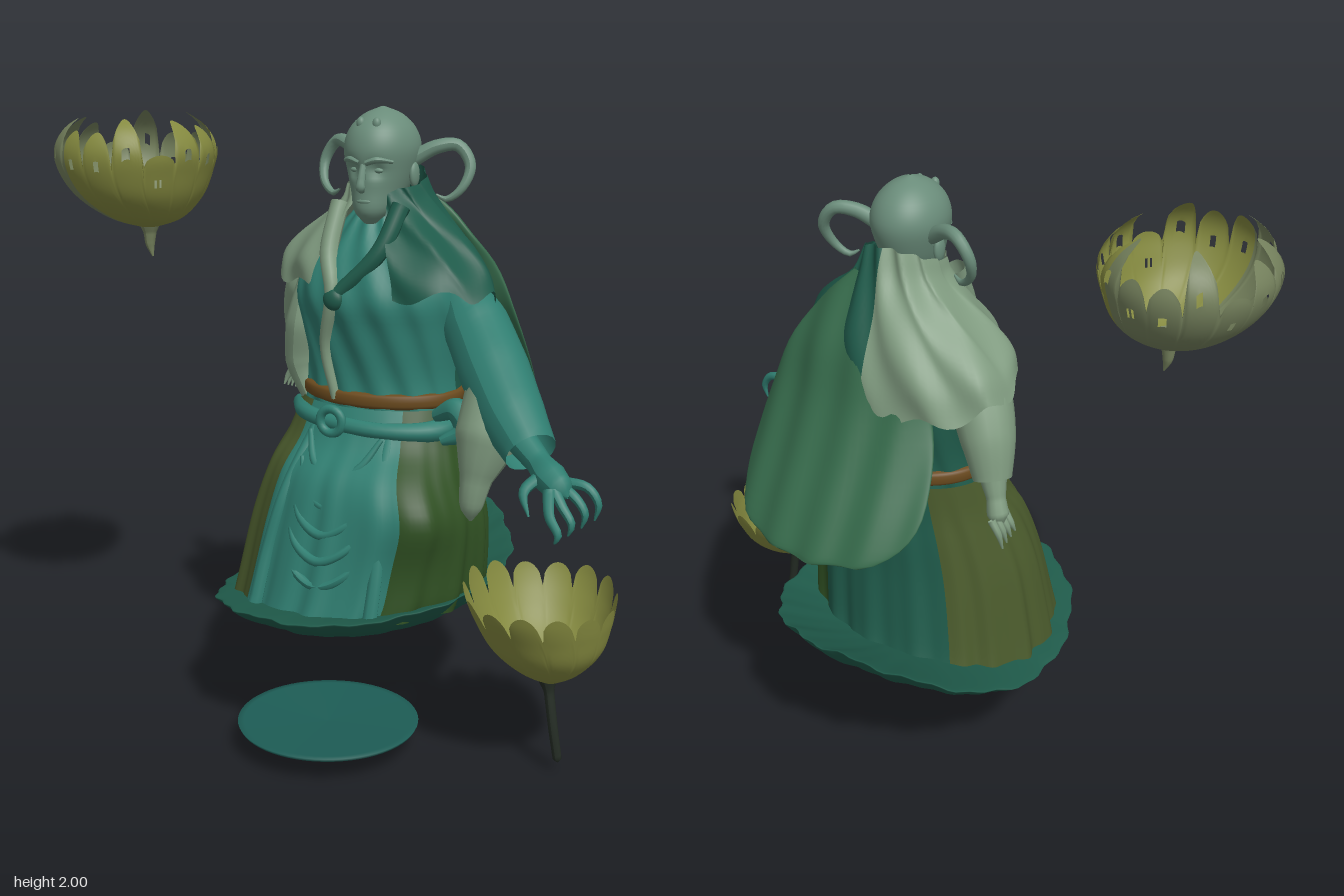
import * as THREE from 'three';

const TAU = Math.PI * 2;
const V = (x, y, z) => new THREE.Vector3(x, y, z);
const C = {
  teal: 0x2f7d70, deep: 0x1f5a4a, pale: 0x7f9a7f, skin: 0x6a8c7a, moss: 0x2f4f22, olive: 0x4a5a2c,
  brown: 0x6a4a1e, cape: 0x35694a, petal: 0x84893f, petalGrey: 0x74805c, dark: 0x242c24, disc: 0x1d5c55,
};
const mat = (color) => new THREE.MeshStandardMaterial({ color, side: THREE.DoubleSide });

function add(parent, name, geometry, color, x = 0, y = 0, z = 0) {
  const mesh = new THREE.Mesh(geometry, mat(color));
  mesh.name = name;
  mesh.position.set(x, y, z);
  parent.add(mesh);
  return mesh;
}

// Smooth skin over elliptical sections [y, cx, cz, rx, rz]; angle 0 faces front.
// bands: [name, color, from, to] in turns share one surface.
function loft(parent, sections, bands, { nu = 96, nv = 28, top = () => 1, warp, skip } = {}) {
  const mid = new THREE.CatmullRomCurve3(sections.map((s) => V(s[1], s[0], s[2])), false, 'catmullrom');
  const rad = new THREE.CatmullRomCurve3(sections.map((s) => V(s[3], s[4], 0)), false, 'catmullrom');
  const pos = [];
  for (let i = 0; i < nu; i++) {
    const a = (TAU * i) / nu;
    for (let j = 0; j <= nv; j++) {
      const t = (j / nv) * top(a), c = mid.getPoint(t), r = rad.getPoint(t);
      const p = V(c.x + r.x * Math.sin(a), c.y, c.z + r.y * Math.cos(a));
      if (warp) warp(p, a, t, c);
      pos.push(p.x, p.y, p.z);
    }
  }
  const faces = (from, to) => {
    const idx = [];
    for (let i = Math.round(from * nu); i < Math.round(to * nu); i++) {
      const p = ((i + nu) % nu) * (nv + 1), q = ((i + 1 + nu) % nu) * (nv + 1);
      for (let j = 0; j < nv; j++) {
        if (skip && skip((i + nu) % nu, j)) continue;
        idx.push(p + j, q + j, p + j + 1, q + j, q + j + 1, p + j + 1);
      }
    }
    return idx;
  };
  const whole = new THREE.BufferGeometry();
  whole.setAttribute('position', new THREE.Float32BufferAttribute(pos, 3));
  whole.setIndex(faces(0, 1));
  whole.computeVertexNormals();
  for (const [name, color, from = 0, to = 1] of bands) {
    const g = new THREE.BufferGeometry();
    g.setAttribute('position', whole.attributes.position);
    g.setAttribute('normal', whole.attributes.normal);
    g.setIndex(faces(from, to));
    add(parent, name, g, color);
  }
}

// Tapered tube through [x, y, z, radius] points.
function limb(parent, name, color, pts, sides = 12, steps = 24) {
  const curve = new THREE.CatmullRomCurve3(pts.map((p) => V(p[0], p[1], p[2])));
  const g = new THREE.TubeGeometry(curve, steps, 1, sides);
  const pos = g.attributes.position, v = V();
  for (let i = 0; i < pos.count; i++) {
    const u = Math.floor(i / (sides + 1)) / steps, c = curve.getPointAt(u);
    const f = curve.getUtoTmapping(u) * (pts.length - 1), k = Math.min(Math.floor(f), pts.length - 2);
    const r = THREE.MathUtils.lerp(pts[k][3], pts[k + 1][3], f - k);
    v.fromBufferAttribute(pos, i).sub(c).multiplyScalar(r).add(c);
    pos.setXYZ(i, v.x, v.y, v.z);
  }
  g.computeVertexNormals();
  add(parent, name, g, color);
}

function ball(parent, name, color, x, y, z, sx, sy, sz) {
  add(parent, name, new THREE.SphereGeometry(1, 20, 14), color, x, y, z).scale.set(sx, sy, sz);
}

function buildRobe(g) {
  // Skirt with folds and a raised left knee
  loft(g, [[0.4, 0.06, 0.01, 0.42, 0.39], [0.5, 0.08, 0.01, 0.42, 0.36], [0.7, 0.1, 0, 0.4, 0.32],
    [0.85, 0.1, -0.02, 0.35, 0.29], [0.95, 0.1, -0.06, 0.31, 0.24], [1.06, 0.1, -0.09, 0.28, 0.21]],
  [['skirtFront', C.teal, -0.1, 0.1], ['skirtLeft', C.moss, 0.1, 0.4],
    ['skirtBack', C.deep, 0.4, 0.6], ['skirtRight', C.olive, 0.6, 0.9]],
  { nu: 160, warp: (p, a, t, c) => {
    const fold = 0.025 * (1 - t) * Math.sin(17 * a + Math.sin(3 * a)) + 0.01 * (1 - t) * Math.sin(31 * a);
    const knee = 0.19 * Math.exp(-(((a - 0.75) / 0.4) ** 2) - (((p.y - 0.77) / 0.13) ** 2));
    p.x = c.x + (p.x - c.x) * (1 + fold + knee);
    p.z = c.z + (p.z - c.z) * (1 + fold + knee);
    p.y += 0.045 * Math.sin(a) * (1 - t) ** 3;
  } });
  // Dished hem with a rising train at the back
  loft(g, [[0.31, 0.05, -0.07, 0.005, 0.005], [0.315, 0.05, -0.07, 0.2, 0.25], [0.36, 0.05, -0.07, 0.38, 0.45],
    [0.42, 0.05, -0.07, 0.46, 0.56], [0.435, 0.05, -0.07, 0.45, 0.54], [0.41, 0.05, -0.07, 0.24, 0.28]],
  [['hem', C.deep]], { nu: 128, warp: (p, a) => {
    const nx = (p.x - 0.05) / 0.47, nz = (p.z + 0.07) / 0.57, r2 = nx * nx + nz * nz;
    p.y += (nz < 0 ? 0.19 : 0.02) * nz * nz + 0.06 * nx * Math.abs(nx);
    const rag = 1 + 0.012 * r2 * (Math.sin(13 * a) + 0.8 * Math.sin(29 * a));
    p.x = 0.05 + (p.x - 0.05) * rag;
    p.z = -0.07 + (p.z + 0.07) * rag;
  } });
  // Torso with cloth creases
  loft(g, [[1.02, 0.1, -0.09, 0.28, 0.2], [1.15, 0.1, -0.09, 0.265, 0.195], [1.3, 0.1, -0.085, 0.28, 0.215],
    [1.41, 0.1, -0.08, 0.29, 0.23], [1.52, 0.1, -0.1, 0.26, 0.21], [1.61, 0.1, -0.1, 0.16, 0.15], [1.7, 0.11, -0.09, 0.08, 0.08]],
  [['chest', C.teal, -0.25, 0.25], ['back', C.deep, 0.25, 0.75]],
  { warp: (p, a) => { p.z += 0.006 * Math.sin(14 * a + p.y * 20); } });
  // Shoulder mantle, right end set back, rising behind the neck
  loft(g, [[1.43, 0.1, -0.1, 0.42, 0.25], [1.5, 0.1, -0.105, 0.385, 0.245], [1.57, 0.1, -0.11, 0.31, 0.22],
    [1.64, 0.1, -0.11, 0.215, 0.18], [1.7, 0.11, -0.1, 0.15, 0.14], [1.75, 0.11, -0.09, 0.125, 0.12]],
  [['mantleLeft', C.deep, 0.06, 0.5], ['mantleRight', C.pale, 0.5, 0.94]], { warp: (p, a, t) => {
    const rear = (1 - Math.cos(a)) / 2;
    p.z += 0.2 * (p.x - 0.1) * (1 - t) + 0.01 * Math.sin(11 * a + 9 * t);
    p.y += 0.07 * rear * rear * t - (1 - t) * (0.1 * rear - 0.02 * Math.sin(9 * a) - 0.05 * Math.sin(a) ** 2);
  } });
  // Long cape sweeping out behind from the left shoulder
  loft(g, [[0.92, 0.16, -0.62, 0.05, 0.006], [0.95, 0.16, -0.6, 0.24, 0.014], [1.05, 0.16, -0.53, 0.33, 0.025],
    [1.2, 0.17, -0.43, 0.33, 0.035], [1.35, 0.18, -0.35, 0.29, 0.04], [1.5, 0.18, -0.3, 0.23, 0.04],
    [1.62, 0.16, -0.24, 0.17, 0.04], [1.72, 0.13, -0.2, 0.1, 0.02]],
  [['cape', C.cape]], { warp: (p, a, t, c) => {
    p.z += 0.6 * (p.x - c.x) ** 2 + 0.008 * Math.sin(p.x * 40);
  } });
  // Lapels and clasp
  limb(g, 'lapelRight', C.pale, [[0, 1.7, 0.02, 0.03], [0.0, 1.55, 0.09, 0.03], [0.04, 1.43, 0.14, 0.024], [0, 1.25, 0.115, 0.018], [0.03, 1.08, 0.1, 0.015]]);
  limb(g, 'lapelLeft', C.deep, [[0.22, 1.7, 0.02, 0.03], [0.18, 1.56, 0.09, 0.028], [0.06, 1.43, 0.14, 0.022]]);
  ball(g, 'clasp', C.deep, 0.05, 1.41, 0.15, 0.035, 0.035, 0.022);
  limb(g, 'openRobe', C.pale, [[-0.13, 1.46, 0, 0.03], [-0.15, 1.3, 0, 0.06], [-0.165, 1.16, -0.02, 0.06], [-0.11, 1.03, 0, 0.03]]);
  // Belt, sash and knot
  loft(g, [[1.06, 0.1, -0.09, 0.268, 0.197], [1.07, 0.1, -0.09, 0.279, 0.208], [1.1, 0.1, -0.09, 0.279, 0.208], [1.11, 0.1, -0.09, 0.262, 0.192]],
    [['belt', C.brown]], { nv: 8, warp: (p) => { p.y += 0.06 * (p.x - 0.2) ** 2; } });
  limb(g, 'sash', C.teal, [[-0.19, 1.01, -0.05, 0.03], [-0.08, 1.02, 0.1, 0.026], [0.05, 1.01, 0.14, 0.026],
    [0.22, 1.0, 0.13, 0.026], [0.36, 1.0, 0.04, 0.035], [0.39, 1.02, -0.05, 0.03]]);
  add(g, 'knot', new THREE.TorusGeometry(0.04, 0.015, 10, 24), C.teal, 0.05, 1.02, 0.165);
  limb(g, 'sashLoop', C.teal, [[0.36, 1.05, 0.04, 0.02], [0.44, 1.08, 0.05, 0.04], [0.47, 1.02, 0.05, 0.04], [0.4, 0.98, 0.08, 0.015]]);
  // Swags on the skirt front, with hanging edges
  for (let k = 0; k < 5; k++) {
    const y = 0.98 - k * 0.08, z = 0.14 + 0.165 * Math.sin((k + 1) * 0.3), w = 0.13 + k * 0.006;
    limb(g, 'swag', C.teal, [[0.1 - w, y, z - 0.03, 0.008], [0.1 - w * 0.6, y - 0.09, z + 0.03, 0.014],
      [0.1, y - 0.13, z + 0.05, 0.016], [0.1 + w * 0.6, y - 0.09, z + 0.03, 0.014], [0.1 + w, y, z - 0.03, 0.008]], 8);
  }
  for (const s of [-1, 1]) {
    limb(g, 'skirtEdge', C.teal, [[0.1 + s * 0.13, 1.0, 0.1, 0.02], [0.1 + s * 0.17, 0.8, 0.245, 0.02],
      [0.09 + s * 0.2, 0.6, 0.3, 0.022], [0.08 + s * 0.21, 0.43, 0.345, 0.024]], 8);
  }
}

function buildArms(g) {
  // Left arm reaching outward, with a bell sleeve
  limb(g, 'leftSleeve', C.teal, [[0.34, 1.47, -0.1, 0.06], [0.43, 1.34, -0.08, 0.105], [0.55, 1.21, 0.02, 0.11],
    [0.66, 1.1, 0.12, 0.1], [0.75, 1.02, 0.19, 0.08]], 18);
  limb(g, 'leftSleeveDrape', C.pale, [[0.58, 1.15, 0.06, 0.1], [0.575, 1.02, 0.12, 0.1], [0.56, 0.9, 0.16, 0.05],
    [0.55, 0.81, 0.17, 0.035], [0.55, 0.77, 0.17, 0.005]], 14);
  limb(g, 'leftHand', C.teal, [[0.68, 1.07, 0.16, 0.05], [0.79, 1.0, 0.22, 0.038], [0.84, 0.975, 0.26, 0.05], [0.89, 0.95, 0.29, 0.04], [0.915, 0.935, 0.3, 0.004]]);
  for (let k = 0; k < 4; k++) {
    const z = 0.24 + 0.033 * k, s = k * 0.02;
    limb(g, 'leftFinger', C.teal, [[0.87, 0.96, z, 0.018], [0.95 - s, 0.955 - s, z + 0.012 * k, 0.015],
      [0.985 - s, 0.91 - s, z + 0.018 * k, 0.012], [0.975 - s, 0.86 - s * 0.6, z + 0.018 * k, 0.003]], 8, 12);
  }
  limb(g, 'leftThumb', C.teal, [[0.82, 0.98, 0.27, 0.02], [0.79, 0.94, 0.33, 0.016], [0.82, 0.88, 0.36, 0.003]], 8, 12);
  // Right arm hanging, set back
  limb(g, 'rightSleeve', C.pale, [[-0.12, 1.5, -0.15, 0.06], [-0.22, 1.39, -0.19, 0.1], [-0.275, 1.29, -0.23, 0.085],
    [-0.31, 1.18, -0.26, 0.06]], 16);
  limb(g, 'rightHand', C.pale, [[-0.31, 1.2, -0.26, 0.045], [-0.335, 1.13, -0.28, 0.03], [-0.35, 1.08, -0.29, 0.035], [-0.36, 1.05, -0.29, 0.01]]);
  for (let k = 0; k < 4; k++) {
    const z = -0.33 + 0.025 * k;
    limb(g, 'rightFinger', C.pale, [[-0.35, 1.08, z, 0.013], [-0.375, 1.04, z, 0.011], [-0.385, 0.985 + 0.008 * k, z + 0.01, 0.003]], 8, 10);
  }
  limb(g, 'rightThumb', C.pale, [[-0.325, 1.11, -0.25, 0.014], [-0.3, 1.07, -0.23, 0.012], [-0.3, 1.03, -0.22, 0.003]], 8, 10);
}

function buildHead(g) {
  loft(g, [[1.64, 0.11, 0.015, 0.02, 0.025], [1.68, 0.11, 0, 0.058, 0.07], [1.74, 0.11, -0.04, 0.083, 0.11],
    [1.8, 0.11, -0.055, 0.103, 0.128], [1.87, 0.11, -0.06, 0.118, 0.14], [1.93, 0.11, -0.06, 0.102, 0.12],
    [1.975, 0.11, -0.06, 0.06, 0.072], [2.0, 0.11, -0.06, 0.004, 0.004]], [['head', C.skin]], { warp: (p) => {
    // Eye hollows
    for (const s of [-1, 1]) {
      if (p.z > 0) p.z -= 0.02 * Math.exp(-(((p.x - 0.11 - s * 0.04) / 0.025) ** 2) - (((p.y - 1.81) / 0.02) ** 2));
    }
  } });
  limb(g, 'neck', C.skin, [[0.11, 1.55, -0.07, 0.09], [0.11, 1.66, -0.06, 0.075], [0.11, 1.78, -0.06, 0.07]]);
  limb(g, 'nose', C.skin, [[0.11, 1.83, 0.065, 0.01], [0.11, 1.78, 0.08, 0.013], [0.11, 1.755, 0.083, 0.016], [0.11, 1.742, 0.07, 0.006]], 10);
  ball(g, 'mouth', C.skin, 0.11, 1.712, 0.06, 0.028, 0.01, 0.014);
  for (const s of [-1, 1]) {
    const m = (x) => 0.11 + s * x;
    limb(g, 'brow', C.skin, [[m(0.01), 1.832, 0.07, 0.01], [m(0.045), 1.842, 0.064, 0.011], [m(0.085), 1.835, 0.03, 0.006]], 8);
    ball(g, 'eye', C.skin, m(0.04), 1.808, 0.042, 0.018, 0.009, 0.012);
    ball(g, 'ear', C.skin, m(0.108), 1.79, -0.07, 0.014, 0.04, 0.025);
    ball(g, 'foreheadStud', C.skin, m(0.028), 1.95, 0.032, 0.014, 0.02, 0.014);
    limb(g, 'horn', C.skin, [[m(0.09), 1.835, -0.09, 0.026], [m(0.16), 1.875, -0.12, 0.023], [m(0.22), 1.88, -0.15, 0.02],
      [m(0.264), 1.82, -0.15, 0.018], [m(0.25), 1.75, -0.12, 0.014], [m(0.205), 1.715, -0.1, 0.01], [m(0.175), 1.73, -0.09, 0.003]]);
  }
}

function buildFlowers(g) {
  // Upper flower: pierced bowl, ragged petals curling inward
  const upper = new THREE.Group();
  upper.name = 'upperFlower';
  g.add(upper);
  loft(upper, [[1.585, -0.69, 0.11, 0.01, 0.01], [1.62, -0.7, 0.11, 0.12, 0.12], [1.69, -0.72, 0.11, 0.2, 0.22],
    [1.77, -0.735, 0.11, 0.245, 0.27], [1.85, -0.735, 0.11, 0.262, 0.285], [1.92, -0.735, 0.11, 0.22, 0.255], [1.97, -0.735, 0.11, 0.14, 0.19]],
  [['petals', C.petalGrey, 0.4, 0.95], ['innerPetals', C.petal, -0.05, 0.4]], { nu: 192, nv: 24,
    top: (a) => 0.58 + Math.sqrt(Math.abs(Math.sin(8 * a))) * (0.24 + 0.17 * Math.sin(2.3 * Math.floor((8 * a) / Math.PI))),
    skip: (i, j) => i % 12 > 3 && i % 12 < 7 && j > 15 && j < 18 && i % 5 < 4 });
  limb(upper, 'stub', C.petalGrey, [[-0.69, 1.62, 0.11, 0.045], [-0.69, 1.57, 0.11, 0.022], [-0.69, 1.53, 0.11, 0.016], [-0.68, 1.49, 0.11, 0.003]]);
  // Lower flower on its stem
  const lower = new THREE.Group();
  lower.name = 'lowerFlower';
  g.add(lower);
  loft(lower, [[0.285, 0.82, 0.15, 0.012, 0.012], [0.33, 0.81, 0.14, 0.1, 0.1], [0.4, 0.8, 0.135, 0.17, 0.18],
    [0.48, 0.785, 0.13, 0.205, 0.23], [0.54, 0.775, 0.13, 0.222, 0.26], [0.59, 0.77, 0.13, 0.232, 0.275]],
  [['petals', C.petal]], { nu: 168, nv: 20,
    top: (a) => 0.66 + 0.33 * Math.sqrt(Math.abs(Math.sin(7 * a))) * (0.85 + 0.15 * Math.sin(3 * a)),
    warp: (p) => { p.y -= 0.08 * (p.x - 0.77) * (p.y > 0.45 ? (p.y - 0.45) * 8 : 0); } });
  limb(lower, 'stem', C.dark, [[0.81, 0.31, 0.15, 0.035], [0.82, 0.26, 0.155, 0.016], [0.84, 0.14, 0.16, 0.015], [0.855, 0.04, 0.155, 0.014], [0.856, 0.03, 0.155, 0.002]]);
}

export function createModel() {
  const model = new THREE.Group();
  model.name = 'hornedRobedFigure';
  for (const [name, build] of [['robe', buildRobe], ['arms', buildArms], ['head', buildHead], ['flowers', buildFlowers]]) {
    const part = new THREE.Group();
    part.name = name;
    build(part);
    model.add(part);
  }
  // Shallow saucer below the figure
  const profile = [[0, 0], [0.06, 0.01], [0.17, 0.05], [0.285, 0.075], [0.29, 0.085], [0.27, 0.085], [0, 0.075]];
  add(model, 'saucer', new THREE.LatheGeometry(profile.map(([x, y]) => new THREE.Vector2(x, y)), 64), C.disc, 0.14, 0, 0.34);
  return model;
}
